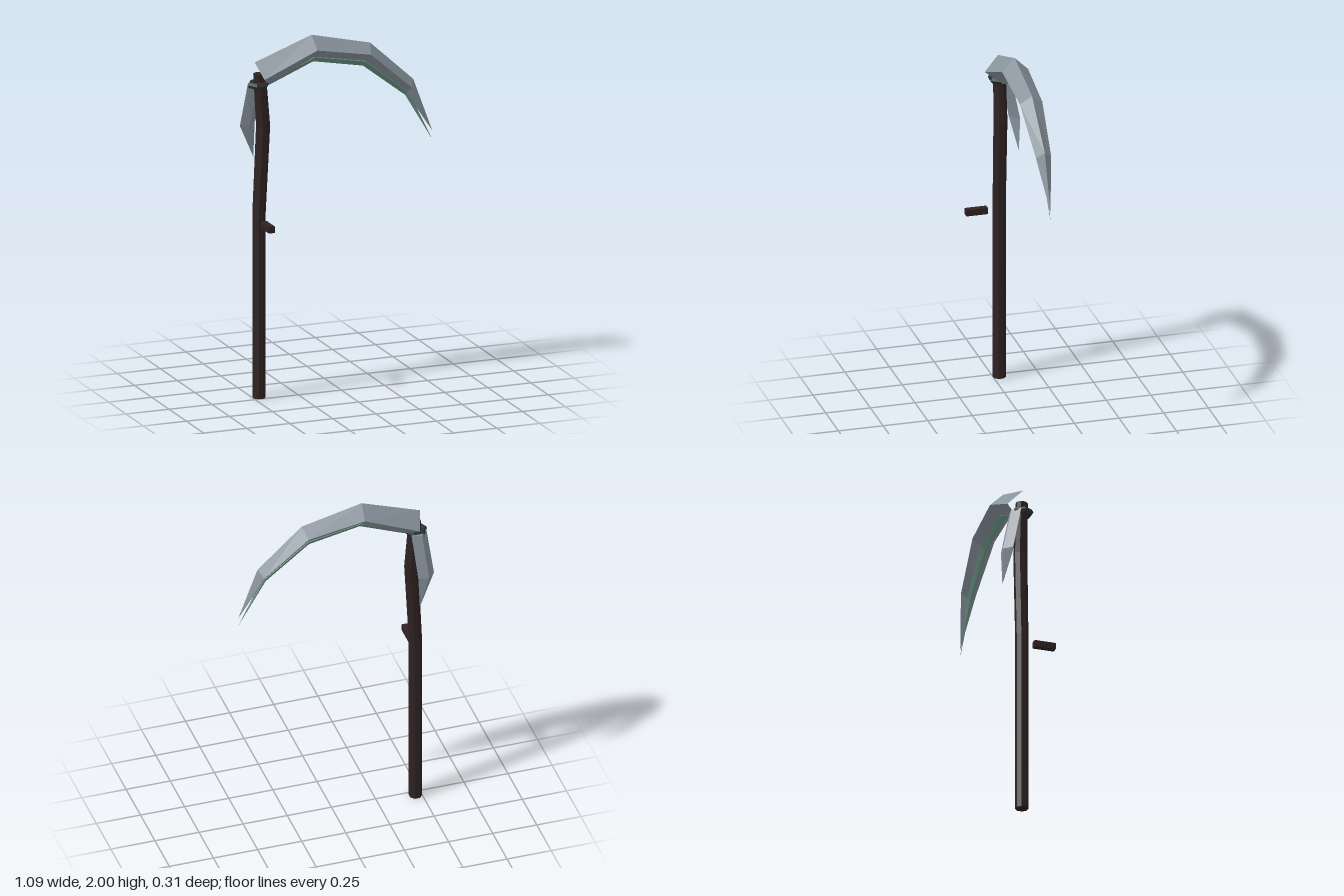
import * as THREE from 'three';

const material = (name, color) => {
  const m = new THREE.MeshStandardMaterial({ color, flatShading: true });
  m.name = name;
  return m;
};

// Skin a list of rings, each ordered counterclockwise about the loft direction.
function loft(rings, capStart = true, capEnd = true) {
  const pos = [];
  const tri = (a, b, c) => pos.push(...a, ...b, ...c);
  const n = rings[0].length;
  for (let r = 0; r < rings.length - 1; r++) {
    const a = rings[r], b = rings[r + 1];
    for (let i = 0; i < n; i++) {
      const j = (i + 1) % n;
      tri(a[i], a[j], b[i]);
      tri(a[j], b[j], b[i]);
    }
  }
  const first = rings[0], last = rings[rings.length - 1];
  for (let i = 1; i < n - 1; i++) {
    if (capStart) tri(first[0], first[i + 1], first[i]);
    if (capEnd) tri(last[0], last[i], last[i + 1]);
  }
  const g = new THREE.BufferGeometry();
  g.setAttribute('position', new THREE.Float32BufferAttribute(pos, 3));
  g.computeVertexNormals();
  return g;
}

export function createModel() {
  const wood = material('dark wood', 0x2f2222);
  const steel = material('steel', 0x89949d);
  const edge = material('green edge', 0x6b9584);
  const iron = material('dark iron', 0x28342f);
  const group = new THREE.Group();
  const add = (name, geometry, mat, x = 0, y = 0, z = 0) => {
    const mesh = new THREE.Mesh(geometry, mat);
    mesh.name = name;
    mesh.position.set(x, y, z);
    group.add(mesh);
    return mesh;
  };
  const Z = -0.033; // depth of the centre plane

  // Octagonal pole, bent near the top: x, y, radius
  const polePath = [[-0.465, 0, 0.036], [-0.465, 1.03, 0.036], [-0.441, 1.52, 0.038],
    [-0.457, 1.75, 0.035], [-0.463, 1.815, 0.033]];
  add('pole', loft(polePath.map(([x, y, r]) => Array.from({ length: 8 }, (_, i) => {
    const a = (i + 0.5) * Math.PI / 4;
    return [x + r * Math.cos(a), y, Z - r * Math.sin(a)];
  }))), wood);

  // Short side grip
  add('grip', new THREE.BoxGeometry(0.035, 0.036, 0.12), wood, -0.465, 0.988, 0.095);

  // Six-sided collar under the blade
  const collar = add('collar', new THREE.TorusGeometry(0.045, 0.018, 6, 6), iron, -0.468, 1.755, Z);
  collar.rotation.x = Math.PI / 2;

  // Main blade, diamond section: ridge x,y / shoulder x,y / belly x,y / half width
  const blade = [
    [-0.49, 1.88, -0.465, 1.80, -0.41, 1.745, 0.081],
    [-0.16, 2.0, -0.155, 1.93, -0.15, 1.862, 0.073],
    [0.18, 1.92, 0.16, 1.87, 0.14, 1.81, 0.063],
    [0.43, 1.69, 0.405, 1.655, 0.387, 1.62, 0.043],
    [0.54, 1.39, 0.54, 1.39, 0.54, 1.39, 0],
  ];
  const diamond = ([rx, ry, sx, sy, bx, by, w]) =>
    [[rx, ry, Z], [sx, sy, Z + w], [bx, by, Z], [sx, sy, Z - w]];
  add('blade', loft(blade.map(diamond), false, false), steel);

  // Cutting edge set into the belly of the blade
  const cuttingEdge = [
    [-0.40, 1.78, -0.40, 1.765, -0.40, 1.748, 0.01],
    [-0.15, 1.90, -0.15, 1.878, -0.15, 1.85, 0.022],
    [0.15, 1.845, 0.145, 1.822, 0.138, 1.795, 0.02],
    [0.395, 1.64, 0.39, 1.625, 0.383, 1.605, 0.013],
    [0.54, 1.34, 0.54, 1.34, 0.54, 1.34, 0],
  ];
  add('cuttingEdge', loft(cuttingEdge.map(diamond)), edge);

  // Small rear blade hanging behind the pole: right, inner, left and outer corners
  add('rearBlade', loft([
    [[-0.425, 1.76, -0.09], [-0.465, 1.76, -0.045], [-0.52, 1.76, -0.055], [-0.482, 1.76, -0.098]],
    [[-0.445, 1.51, -0.145], [-0.495, 1.51, -0.095], [-0.545, 1.51, -0.11], [-0.504, 1.51, -0.154]],
    Array(4).fill([-0.455, 1.32, -0.14]),
  ], true, false), steel);

  return group;
}
